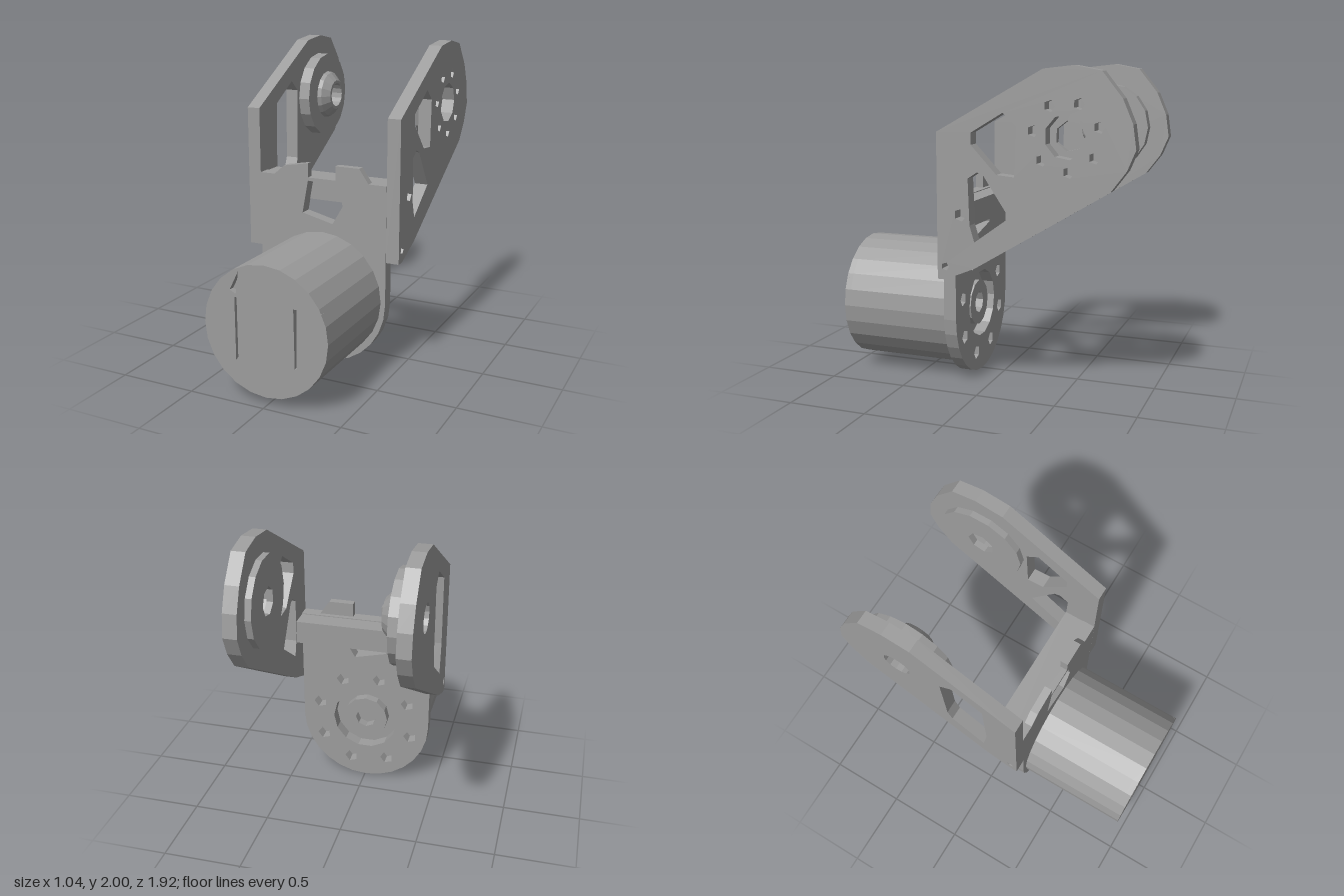
import * as THREE from 'three';

export function createModel() {
  const group = new THREE.Group();
  const metal = new THREE.MeshStandardMaterial({ color: 0x9c9c9c, flatShading: true });
  metal.name = 'grey metal';

  function add(name, geometry, x = 0, y = 0, z = 0) {
    const mesh = new THREE.Mesh(geometry, metal);
    mesh.name = name;
    mesh.position.set(x, y, z);
    group.add(mesh);
    return mesh;
  }
  const points = (list) => list.map(([x, y]) => new THREE.Vector2(x, y));
  const ringPoints = (cx, cy, r, n, offset = 0) => Array.from({ length: n }, (_, i) => {
    const a = offset + (i / n) * Math.PI * 2;
    return [cx + r * Math.cos(a), cy + r * Math.sin(a)];
  });
  function plate(outline, holes, depth) {
    const shape = new THREE.Shape(points(outline));
    holes.forEach((h) => shape.holes.push(new THREE.Path(points(h))));
    return new THREE.ExtrudeGeometry(shape, { depth, bevelEnabled: false });
  }
  // Side plates are drawn in (-z, y) and extruded along +x
  const sidePlate = (outline, holes, depth) => plate(outline, holes, depth).rotateY(Math.PI / 2);

  const pivot = [0.56, 1.6];
  const around = (c, r, size, n) => ringPoints(c[0], c[1], r, n, 0.3).map(([x, y]) => ringPoints(x, y, size, 5));

  // Fork arms
  const armOutline = [[-0.24, 0.72], [-0.19, 0.72], [0, 0.8], [0.82, 1.3], [0.91, 1.42], [0.96, 1.54],
    [0.94, 1.68], [0.88, 1.82], [0.76, 1.97], [0.6, 2], [0.42, 1.98], [-0.24, 1.61]];
  const screwHole = ringPoints(-0.19, 0.8, 0.025, 5);
  const longSlot = [[-0.03, 1.16], [0, 0.96], [0.22, 1.12], [0.25, 1.2], [0.26, 1.66], [0.18, 1.73], [-0.02, 1.61]];
  const upperWindow = [[-0.02, 1.61], [0.18, 1.73], [0.26, 1.66], [0.25, 1.36], [0.14, 1.37], [-0.02, 1.54]];
  const lowerWindow = [[-0.04, 1.34], [-0.03, 1.06], [0, 0.96], [0.22, 1.12], [0.06, 1.36], [0.02, 1.38]];
  add('rightArm', sidePlate(armOutline, [longSlot, ringPoints(...pivot, 0.09, 14), screwHole], 0.085), -0.525);
  add('leftArm', sidePlate(armOutline,
    [upperWindow, lowerWindow, ringPoints(...pivot, 0.13, 9), screwHole, ringPoints(-0.09, 1.12, 0.04, 5),
      ...around(pivot, 0.2, 0.035, 7)], 0.085), 0.433);

  // Pivot hub: wide flange with a tapered, bored boss
  const hubProfile = [[0.09, 0], [0.28, 0], [0.28, 0.075], [0.16, 0.075], [0.15, 0.1], [0.1, 0.145], [0.08, 0.145], [0.09, 0]];
  add('pivotHub', new THREE.LatheGeometry(points(hubProfile), 16).rotateZ(-Math.PI / 2), -0.44, pivot[1], -pivot[0]);

  // Thin horn disc inside the other arm
  add('hornDisc', sidePlate(ringPoints(...pivot, 0.28, 14), [ringPoints(...pivot, 0.09, 7)], 0.04), 0.394);

  // Mounting plate with rounded bottom, window and motor openings
  const plateOutline = [[0.432, 1.2], [-0.44, 1.2]];
  for (let i = 0; i <= 14; i++) {
    const a = Math.PI + (i / 14) * Math.PI;
    plateOutline.push([0.436 * Math.cos(a) - 0.004, 0.44 + 0.44 * Math.sin(a)]);
  }
  const motorAxis = [0, 0.45];
  add('mountingPlate', plate(plateOutline,
    [[[-0.14, 0.97], [0.07, 0.92], [0.14, 1.04], [0.11, 1.17], [-0.1, 1.18]],
      ringPoints(...motorAxis, 0.22, 14), ...around(motorAxis, 0.33, 0.045, 8)], 0.08), 0, 0, 0.16);

  // Bearing seat in the middle of the plate
  add('bearingRing', plate(ringPoints(...motorAxis, 0.15, 12), [ringPoints(...motorAxis, 0.07, 8)], 0.06), 0, 0, 0.18);

  // Top flange and tabs
  add('topFlange', new THREE.BoxGeometry(0.87, 0.15, 0.13), -0.004, 1.12, 0.1);
  add('rightTab', plate([[-0.35, 1.19], [-0.1, 1.19], [-0.1, 1.29], [-0.27, 1.26]], [], 0.05), 0, 0, 0.19);
  add('leftTab', plate([[0.09, 1.19], [0.32, 1.19], [0.25, 1.29], [0.09, 1.29]], [], 0.05), 0, 0, 0.19);

  // Motor can, closed by a front cap with narrow slits
  const rim = ringPoints(-0.003, 0.455, 0.405, 24);
  add('motorBody', plate(rim, [], 0.68), 0, 0, 0.24);
  const slits = [
    [[-0.2, 0.25], [-0.185, 0.27], [-0.185, 0.64], [-0.2, 0.64]],
    [[0.19, 0.27], [0.2, 0.27], [0.205, 0.63], [0.185, 0.63]],
    [[0.18, 0.66], [0.36, 0.63], [0.2, 0.67]],
    [[-0.23, 0.68], [-0.19, 0.66], [-0.17, 0.8]],
  ];
  add('motorCap', plate(rim, slits, 0.04), 0, 0, 0.92);

  return group;
}
